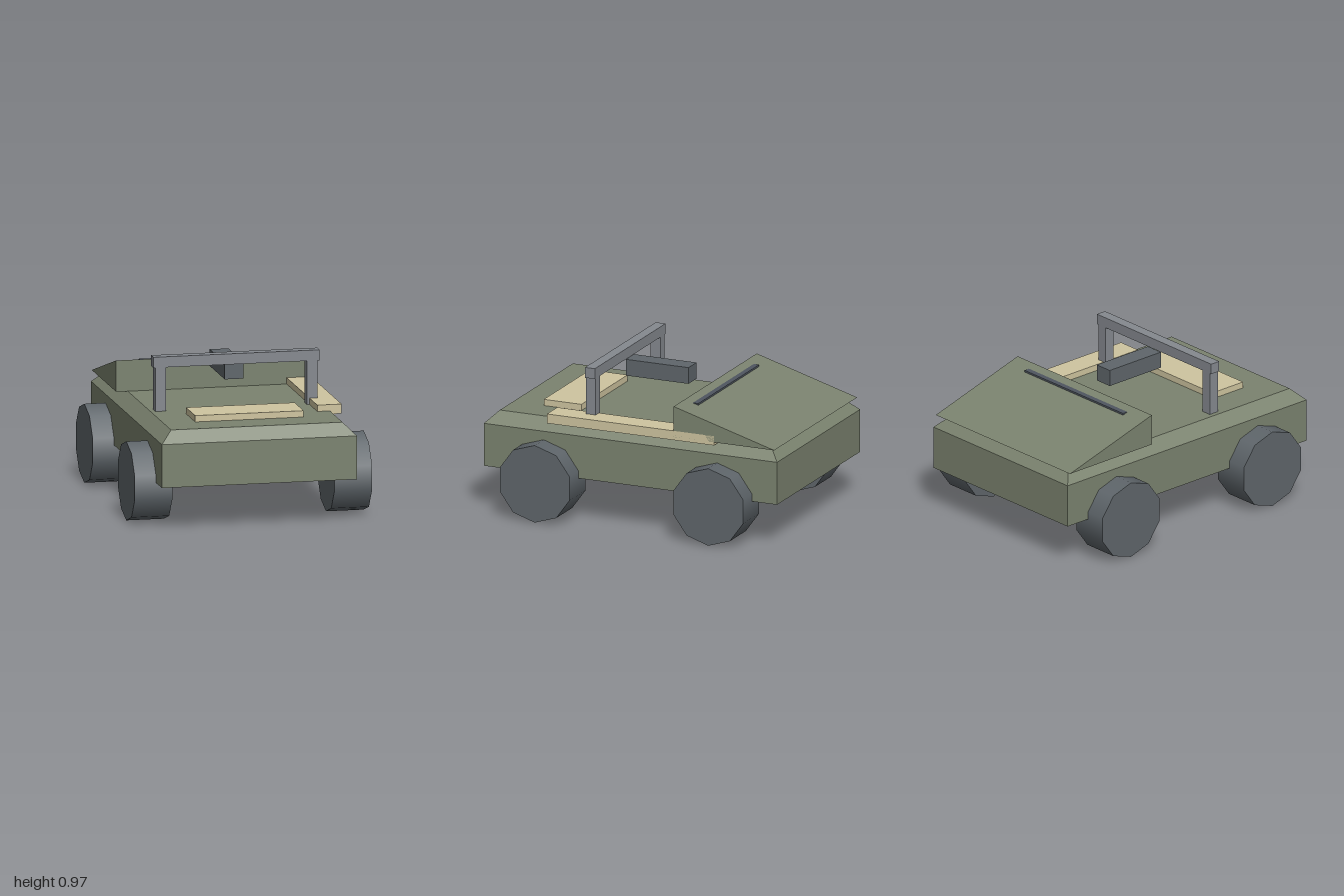
import * as THREE from 'three';

const paint = (color) => new THREE.MeshStandardMaterial({ color });
const green = paint(0x7b836f);
const cream = paint(0xcfc5a0);
const steel = paint(0x85898f);
const dark = paint(0x5f666b);
const slotPaint = paint(0x4f5660);

export function createModel() {
  const model = new THREE.Group();
  model.name = 'vehicle';

  const add = (name, geometry, material) => {
    const mesh = new THREE.Mesh(geometry, material);
    mesh.name = name;
    model.add(mesh);
    return mesh;
  };
  // Box given by its limits on each axis
  const box = (name, material, [x0, x1], [y0, y1], [z0, z1]) => {
    const mesh = add(name, new THREE.BoxGeometry(x1 - x0, y1 - y0, z1 - z0), material);
    mesh.position.set((x0 + x1) / 2, (y0 + y1) / 2, (z0 + z1) / 2);
    return mesh;
  };

  // Hull: a box with its upper ring drawn in to form the sloped rim
  let hull = new THREE.BoxGeometry(1.24, 2, 2, 1, 2, 1);
  const p = hull.attributes.position;
  for (let i = 0; i < p.count; i++) {
    const level = Math.round(p.getY(i));
    p.setY(i, level < 0 ? 0.28 : level === 0 ? 0.555 : 0.63);
    if (level > 0) {
      p.setX(i, Math.sign(p.getX(i)) * 0.545);
      p.setZ(i, Math.sign(p.getZ(i)) * 0.925);
    }
  }
  hull = hull.toNonIndexed();
  hull.computeVertexNormals();
  add('hull', hull, green);

  // Sloped rear cover: side profile (z, y) extruded across the width
  const profile = new THREE.Shape([
    new THREE.Vector2(0.295, 0.63),
    new THREE.Vector2(0.98, 0.63),
    new THREE.Vector2(0.295, 0.828),
  ]);
  const cover = new THREE.ExtrudeGeometry(profile, { depth: 1.24, bevelEnabled: false });
  cover.translate(0, 0, -0.62);
  cover.rotateY(Math.PI / 2);
  add('rearCover', cover, green);
  box('coverSlot', slotPaint, [-0.455, 0.455], [0.78, 0.813], [-0.387, -0.35]);

  // Cream panels
  box('frontPanel', cream, [-0.345, 0.345], [0.61, 0.67], [0.46, 0.717]);
  box('sidePanel', cream, [0.465, 0.62], [0.61, 0.67], [-0.57, 0.57]);

  // Roll bar with the beam behind it
  for (const side of [-1, 1]) {
    const x = side * 0.482;
    box('rollBarPost', steel, [x - 0.033, x + 0.033], [0.62, 0.907], [0.285, 0.352]);
  }
  box('rollBarTop', steel, [-0.528, 0.528], [0.907, 0.974], [0.285, 0.352]);
  box('beam', dark, [-0.06, 0.06], [0.8, 0.905], [-0.14, 0.287]);

  // Ten-sided wheels
  const wheel = new THREE.CylinderGeometry(0.25, 0.25, 0.24, 10);
  wheel.rotateY(Math.PI / 2);
  wheel.rotateZ(Math.PI / 2);
  for (const x of [-1, 1]) {
    for (const z of [-1, 1]) {
      add('wheel', wheel, dark).position.set(x * 0.635, 0.25, z * 0.592);
    }
  }
  return model;
}
